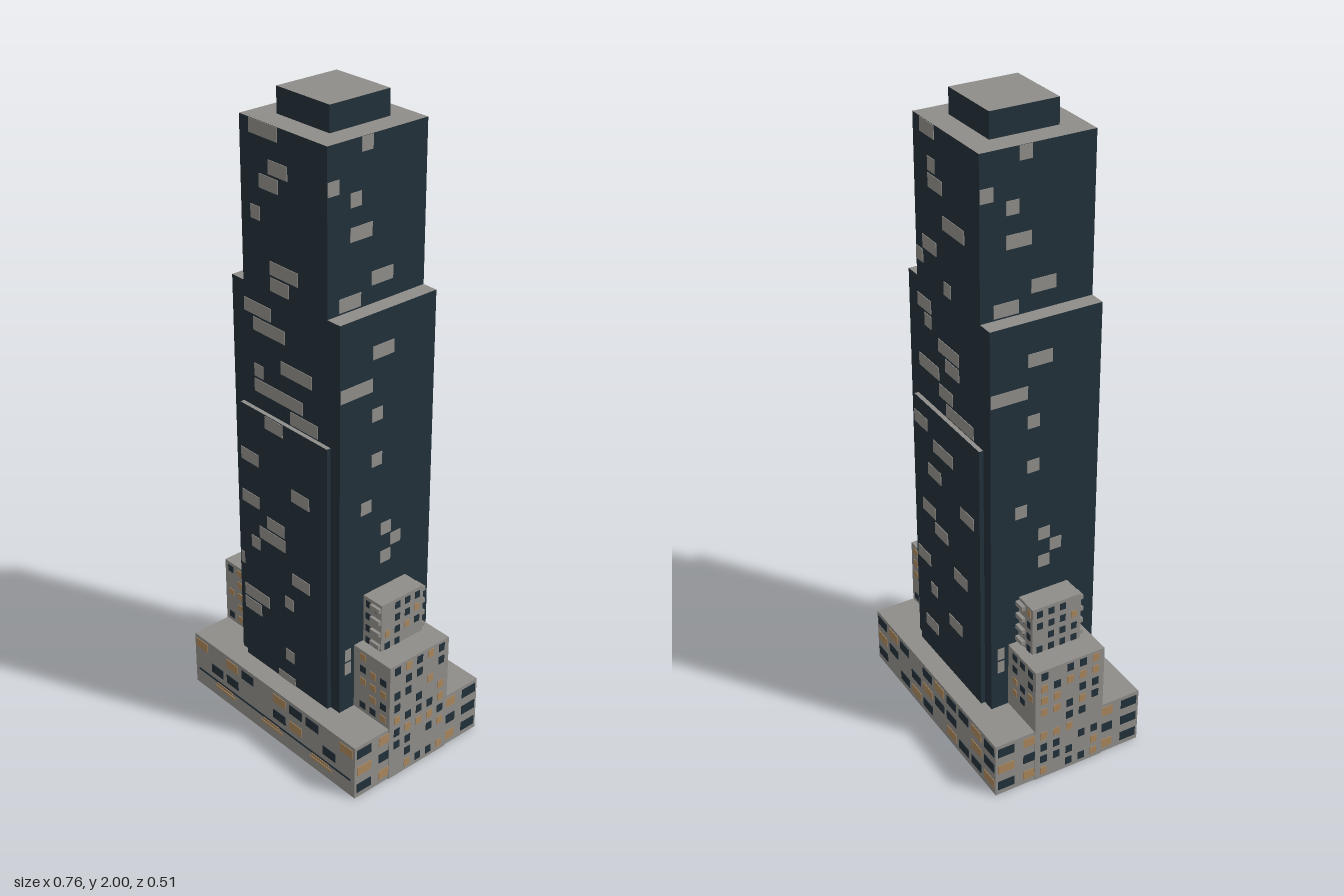
import * as THREE from 'three';

const mat = (name, color) => Object.assign(new THREE.MeshStandardMaterial({ color }), { name });

export function createModel() {
  const stone = mat('pale stone', 0x8f8d89);
  const glass = mat('dark blue glass', 0x22303a);
  const amber = mat('warm lit window', 0xa8855c);

  const model = new THREE.Group();
  model.name = 'skyscraper';
  const building = new THREE.Group();
  building.name = 'building';
  building.position.z = -0.003;
  model.add(building);

  // Box spanning x0..x1, y0..y1, z0..z1
  function block(name, material, x0, x1, y0, y1, z0, z1) {
    const mesh = new THREE.Mesh(new THREE.BoxGeometry(x1 - x0, y1 - y0, z1 - z0), material);
    mesh.position.set((x0 + x1) / 2, (y0 + y1) / 2, (z0 + z1) / 2);
    mesh.name = name;
    building.add(mesh);
    return mesh;
  }

  // Thin plate on a wall; u runs to the right as one faces that wall
  const FRONT = 0, EAST = Math.PI / 2, BACK = Math.PI, WEST = -Math.PI / 2;
  function plate(name, material, side, offset, u, y, w, h, cx = 0) {
    const mesh = new THREE.Mesh(new THREE.BoxGeometry(w, h, 0.004), material);
    const s = Math.sin(side), c = Math.cos(side);
    mesh.position.set(cx + s * offset + c * u, y, c * offset - s * u);
    mesh.rotation.y = side;
    mesh.name = name;
    building.add(mesh);
  }

  let seed = 7;
  const random = () => (seed = (seed * 16807) % 2147483647) / 2147483647;

  // Tower: glass walls with stone roofs
  const tower = [glass, glass, stone, glass, glass, glass];
  block('lowerTower', tower, -0.225, 0.225, 0.18, 1.45, -0.175, 0.175);
  block('upperTower', tower, -0.175, 0.175, 1.45, 1.925, -0.175, 0.175);
  block('roofCap', tower, -0.105, 0.105, 1.925, 2, -0.105, 0.105);
  for (const s of [1, -1]) {
    const z = [s * 0.17, s * 0.1885].sort((a, b) => a - b);
    block(s > 0 ? 'frontSlab' : 'backSlab', tower, -0.187, 0.187, 0.18, 1.07, z[0], z[1]);
  }

  // Lit tower windows as [floor, first column, number of columns]
  const FLOOR = 0.0476, CELL = 0.0385;
  const frontWindows = [
    [40, -3, 3], [38, -1, 2], [37, -2, 2], [35, -3, 1], [32, -1, 3], [31, -1, 2], [29, -4, 3],
    [28, -3, 3.5], [26, 0, 3.4], [25, -3, 1], [24, -3, 5.4], [23, 1, 3], [22, -1.5, 2],
    [19, -4.4, 2], [18, 1.4, 2], [16, -4.4, 2], [15, -1.5, 2], [14, -2.4, 3], [13, -3.4, 1],
    [12, 1.4, 2], [11, -5.2, 1], [10, 0.5, 1], [9, -4.4, 3], [8, -4.4, 2], [6, 0.5, 1], [4, -0.4, 2],
  ];
  const backWindows = [
    [40, -3, 2], [38, -2, 1], [37, -2, 2], [35, 0, 3], [33, -3, 2], [32, -4, 1], [31, 0, 1],
    [29, -4, 2], [28, -3, 1], [27, -1, 3], [26, 0, 2], [25, -4, 3], [24, -1, 2], [23, 0, 4],
    [21, -4.4, 2], [20, -1.5, 3], [18, -2.4, 2], [17, 2.5, 2], [15, -3.4, 2], [14, -1.5, 2],
    [12, 1.4, 2], [11, -4.4, 2], [9, -2.4, 1], [8, 0.5, 2], [6, -3.4, 2],
  ];
  const sideWindows = [
    [40, -1, 1], [38, -4, 1], [37, -2, 1], [35, -2, 2], [32, 0, 2], [31, -3, 2], [28, -1, 2],
    [26, -4, 3], [24, -1, 1], [21, -1, 1], [18, -2, 1], [16, 0, 1], [15, 1, 1], [14, 0, 1],
    [8, -3.5, 0.6], [7, -3.5, 0.6],
  ];
  function lightTower(list, side, wallAt) {
    for (const [floor, column, count] of list) {
      const u = (column + (count - 1) / 2) * CELL;
      plate('towerWindow', stone, side, wallAt(floor, u), u, floor * FLOOR, count * CELL, 0.04);
    }
  }
  const faceWall = (floor, u) => (floor <= 22 && Math.abs(u) < 0.187 ? 0.1885 : 0.175);
  const sideWall = (floor) => (floor > 30 ? 0.175 : 0.225);
  lightTower(frontWindows, FRONT, faceWall);
  lightTower(backWindows, BACK, faceWall);
  lightTower(sideWindows, EAST, sideWall);
  lightTower(sideWindows, WEST, sideWall);

  // Podium: four walls and a roof, open underneath
  block('podiumRoof', stone, -0.377, 0.377, 0.175, 0.185, -0.25, 0.25);
  for (const s of [-1, 1]) {
    block('podiumLongWall', stone, -0.377, 0.377, 0, 0.175, s * 0.246 - 0.004, s * 0.246 + 0.004);
    block('podiumEndWall', stone, s * 0.373 - 0.004, s * 0.373 + 0.004, 0, 0.175, -0.242, 0.242);
  }

  // Dark and warm frames under the podium ceiling
  for (const [material, w, d, y, t] of [[glass, 0.24, 0.18, 0.13, 0.025], [amber, 0.12, 0.08, 0.15, 0.02]]) {
    for (const s of [-1, 1]) {
      block('innerFrameLong', material, -w, w, y, 0.175, s * d - t / 2, s * d + t / 2);
      block('innerFrameShort', material, s * w - t / 2, s * w + t / 2, y, 0.175, -d, d);
    }
  }

  // Podium windows: a = warm, d = dark, . = none
  const paint = { a: amber, d: glass };
  const podiumRows = {
    [FRONT]: ['a.ad.add a', '.dd..da.d.'],
    [BACK]: ['dad.daddad', 'ad.dadd.ad', 'd.dad.adda'],
  };
  for (const side of [FRONT, BACK]) {
    podiumRows[side].forEach((row, r) => [...row].forEach((key, i) => {
      if (paint[key]) plate('podiumWindow', paint[key], side, 0.25, (i - 4.5) * 0.0757, 0.157 - r * 0.06, 0.057, 0.031);
    }));
  }
  for (const side of [EAST, WEST]) {
    ['da..ad', 'ad..dd', 'da..ad'].forEach((row, r) => [...row].forEach((key, i) => {
      if (paint[key]) plate('podiumWindow', paint[key], side, 0.377, (i - 2.5) * 0.0857, 0.157 - r * 0.062, 0.055, 0.031);
    }));
  }

  // Entrance band and three entrance canopies
  plate('entranceBand', glass, FRONT, 0.25, 0, 0.058, 0.72, 0.006);
  for (const x of [-0.227, 0, 0.227]) {
    block('entranceCanopy', amber, x - 0.037, x + 0.037, 0.048, 0.056, 0.248, 0.254);
    plate('entranceDoor', amber, FRONT, 0.25, x, 0.036, 0.1, 0.008);
  }

  // Stepped wings on both sides
  for (const s of [-1, 1]) {
    const span = (a, b) => (s > 0 ? [a, b] : [-b, -a]);
    const outer = s > 0 ? EAST : WEST;
    block('lowerWing', stone, ...span(0.22, 0.38), 0.18, 0.405, -0.1175, 0.1175);
    block('wingFootWall', stone, ...span(0.374, 0.38), 0, 0.18, -0.1175, 0.1175);
    block('upperWing', stone, ...span(0.22, 0.302), 0.405, 0.565, -0.082, 0.082);

    // Outer wall windows, all the way to the ground
    for (let r = 0; r < 9; r++) for (let i = 0; i < 5; i++) {
      const roll = random();
      if (roll < 0.78) plate('wingWindow', roll < 0.52 ? glass : amber, outer, 0.38,
        (i - 2) * 0.044, 0.383 - r * 0.0445, 0.022, 0.026);
    }
    for (let r = 0; r < 4; r++) for (let i = 0; i < 4; i++) {
      const roll = random();
      if (roll < 0.85) plate('wingWindow', roll < 0.6 ? glass : amber, outer, 0.302,
        (i - 1.5) * 0.039, 0.543 - r * 0.042, 0.019, 0.022);
    }

    // Front and back windows
    for (const side of [FRONT, BACK]) {
      for (let r = 0; r < 5; r++) for (const x of [0.265, 0.308, 0.352]) {
        const roll = random();
        if (roll < 0.85) plate('wingWindow', roll < 0.45 ? glass : amber, side, 0.1175,
          0, 0.383 - r * 0.0435, 0.024, 0.022, s * x);
      }
      for (let r = 0; r < 4; r++) for (const x of [0.246, 0.282]) {
        plate('wingWindow', random() < 0.7 ? glass : amber, side, 0.082,
          0, 0.543 - r * 0.042, 0.018, 0.022, s * x);
      }
    }

    // Shallow balconies, alternating in and out
    for (let r = 0; r < 4; r++) {
      const y = 0.415 + r * 0.042;
      block('frontBalcony', stone, ...(s > 0 ? [0.262, 0.3] : [-0.3, -0.267]), y, y + 0.014, 0.08, 0.092);
      block('backBalcony', stone, ...(s > 0 ? [0.262, 0.3] : [-0.262, -0.225]), y, y + 0.014, -0.094, -0.08);
    }
  }

  return model;
}
